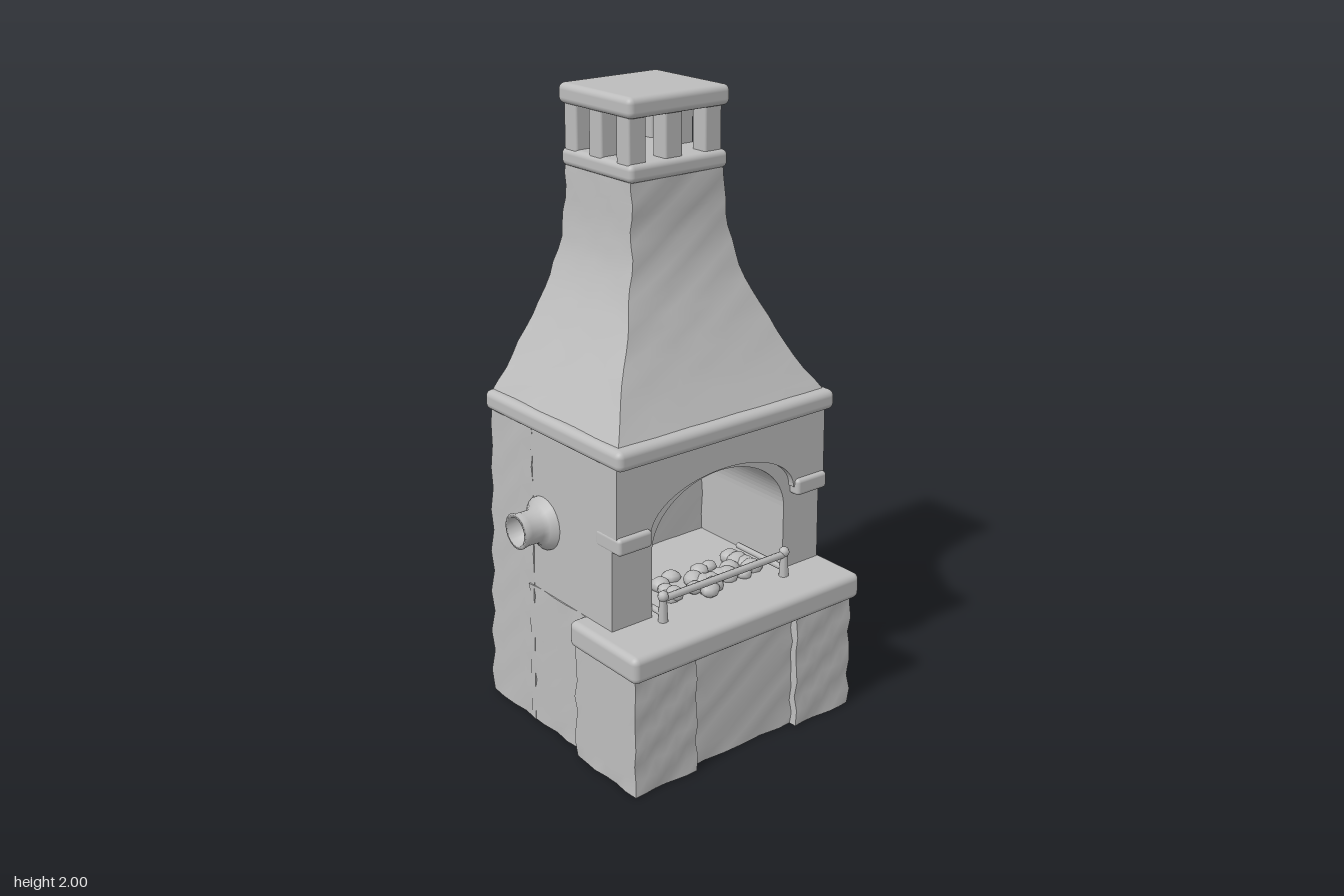
import * as THREE from 'three';
import { RoundedBoxGeometry } from 'three/addons/geometries/RoundedBoxGeometry.js';

const stone = new THREE.MeshStandardMaterial({ color: 0xbcbcbc });
stone.name = 'grey stone';

function seeded(seed) {
  let s = seed;
  return () => (s = (s * 16807) % 2147483647) / 2147483647;
}

function add(parent, name, geometry, x = 0, y = 0, z = 0) {
  const mesh = new THREE.Mesh(geometry, stone);
  mesh.name = name;
  mesh.position.set(x, y, z);
  parent.add(mesh);
  return mesh;
}

// Block that follows rectangular sections [y, xMin, xMax, zMin, zMax], with a slightly uneven face
function block(parent, name, sections, segX = 6, segY = 8, segZ = 6, rough = 0.004) {
  const g = new THREE.BoxGeometry(1, 1, 1, segX, segY, segZ);
  const p = g.attributes.position;
  const y0 = sections[0][0], y1 = sections[sections.length - 1][0];
  for (let i = 0; i < p.count; i++) {
    const y = THREE.MathUtils.lerp(y0, y1, p.getY(i) + 0.5);
    let k = 0;
    while (k < sections.length - 2 && y > sections[k + 1][0]) k++;
    const a = sections[k], b = sections[k + 1];
    const t = (y - a[0]) / (b[0] - a[0]);
    const at = (n) => THREE.MathUtils.lerp(a[n], b[n], t);
    const x = THREE.MathUtils.lerp(at(1), at(2), p.getX(i) + 0.5);
    const z = THREE.MathUtils.lerp(at(3), at(4), p.getZ(i) + 0.5);
    p.setXYZ(i,
      x + rough * Math.sin(z * 31 + y * 47),
      y,
      z + rough * Math.sin(x * 37 + y * 43 + 1));
  }
  g.computeVertexNormals();
  return add(parent, name, g);
}

// Soft-edged slab given by its limits
function slab(parent, name, x0, x1, y0, y1, z0, z1, radius = 0.02) {
  const g = new RoundedBoxGeometry(x1 - x0, y1 - y0, z1 - z0, 3, radius);
  return add(parent, name, g, (x0 + x1) / 2, (y0 + y1) / 2, (z0 + z1) / 2);
}

// Wall across z with an arched opening, running from x0 to x1
function archWall(parent, name, x0, x1, bottom, top, halfWidth, spring, apex) {
  const half = (y) => 0.423 - 0.013 * y;
  const s = new THREE.Shape();
  s.moveTo(-half(bottom), bottom);
  s.lineTo(-halfWidth, bottom);
  if (spring > bottom) s.lineTo(-halfWidth, spring);
  s.absellipse(0, spring, halfWidth, apex - spring, Math.PI, 0, true);
  s.lineTo(halfWidth, bottom);
  s.lineTo(half(bottom), bottom);
  s.lineTo(half(top), top);
  s.lineTo(-half(top), top);
  const g = new THREE.ExtrudeGeometry(s, { depth: x1 - x0, bevelEnabled: false, curveSegments: 20 });
  g.rotateY(Math.PI / 2);
  return add(parent, name, g, x0);
}

function rod(parent, name, from, to, rA, rB = rA) {
  const a = new THREE.Vector3(...from), b = new THREE.Vector3(...to);
  const dir = b.clone().sub(a);
  const m = add(parent, name, new THREE.CylinderGeometry(rB, rA, dir.length(), 8));
  m.position.copy(a).add(b).multiplyScalar(0.5);
  m.quaternion.setFromUnitVectors(new THREE.Vector3(0, 1, 0), dir.normalize());
  return m;
}

export function createModel() {
  const model = new THREE.Group();
  model.name = 'stoneFireplace';

  // Main body: rear wall, hearth base and arched firebox
  block(model, 'rearWall', [[0, -0.416, -0.17, -0.418, 0.428], [1.02, -0.39, -0.17, -0.408, 0.41]], 4, 14, 10);
  block(model, 'hearthBase', [[0, -0.19, 0.2, -0.418, 0.428], [0.475, -0.19, 0.2, -0.415, 0.42]], 6, 8, 10);
  archWall(model, 'fireboxWall', -0.18, 0.23, 0.46, 1.02, 0.265, 0.69, 0.885);
  archWall(model, 'archFace', 0.22, 0.252, 0.76, 1.02, 0.285, 0.76, 0.9);
  for (const side of [-1, 1]) {
    const inner = side * 0.29, outer = side * 0.415;
    slab(model, 'archCorbel', 0.15, 0.268, 0.73, 0.785, Math.min(inner, outer), Math.max(inner, outer), 0.012);
  }

  // Bench with two piers, recessed centre and thick top
  block(model, 'benchCentre', [[0, 0.1, 0.365, -0.22, 0.24], [0.42, 0.1, 0.36, -0.22, 0.24]]);
  block(model, 'benchPierLeft', [[0, 0.09, 0.39, 0.22, 0.458], [0.42, 0.095, 0.385, 0.22, 0.452]]);
  block(model, 'benchPierRight', [[0, 0.09, 0.39, -0.422, -0.19], [0.42, 0.095, 0.385, -0.42, -0.19]]);
  slab(model, 'benchTop', 0.085, 0.413, 0.388, 0.475, -0.437, 0.474, 0.022);

  // Cornice and flared hood
  slab(model, 'cornice', -0.405, 0.288, 1.0, 1.065, -0.422, 0.428, 0.022);
  block(model, 'hood', [
    [1.05, -0.39, 0.26, -0.405, 0.41],
    [1.16, -0.372, 0.19, -0.34, 0.345],
    [1.28, -0.353, 0.125, -0.285, 0.277],
    [1.4, -0.337, 0.07, -0.237, 0.218],
    [1.5, -0.325, 0.037, -0.21, 0.183],
    [1.6, -0.318, 0.018, -0.197, 0.168],
    [1.77, -0.31, 0.01, -0.187, 0.16],
  ], 6, 18, 6, 0.003);

  // Chimney top: collar, eight little piers and cap
  slab(model, 'chimneyCollar', -0.323, 0.023, 1.75, 1.805, -0.2, 0.173, 0.018);
  const xs = [-0.28, -0.157, -0.025], zs = [-0.153, -0.002, 0.133];
  for (let i = 0; i < 3; i++) {
    for (let j = 0; j < 3; j++) {
      if (i === 1 && j === 1) continue;
      slab(model, 'chimneyPier', xs[i] - 0.031, xs[i] + 0.031, 1.79, 1.955, zs[j] - 0.033, zs[j] + 0.033, 0.008);
    }
  }
  slab(model, 'chimneyCap', -0.328, 0.027, 1.937, 2, -0.204, 0.178, 0.02);

  // Flared vent pipes on both flanks
  const pipeProfile = [[0.088, 0], [0.085, 0.02], [0.066, 0.035], [0.054, 0.05], [0.053, 0.09],
    [0.058, 0.115], [0.046, 0.117], [0.042, 0.06], [0, 0.06]].map(([r, h]) => new THREE.Vector2(r, h));
  for (const side of [-1, 1]) {
    const pipe = add(model, 'ventPipe', new THREE.LatheGeometry(pipeProfile, 20), -0.116, 0.707, side * 0.4);
    pipe.rotation.x = side * Math.PI / 2;
  }

  // Fire grate
  const grate = new THREE.Group();
  grate.name = 'fireGrate';
  model.add(grate);
  for (const z of [-0.235, 0.255]) {
    rod(grate, 'gratePost', [0.27, 0.47, z], [0.27, 0.56, z], 0.016, 0.011);
    add(grate, 'grateKnob', new THREE.SphereGeometry(0.017, 10, 8), 0.27, 0.558, z);
    rod(grate, 'grateSideBar', [0.27, 0.5, z], [0.05, 0.5, z], 0.01);
  }
  rod(grate, 'grateRail', [0.27, 0.55, -0.235], [0.27, 0.55, 0.255], 0.012);

  // Heap of coals
  const coals = new THREE.Group();
  coals.name = 'coals';
  model.add(coals);
  const rnd = seeded(77);
  for (let i = 0; i < 28; i++) {
    const c = add(coals, 'coal', new THREE.SphereGeometry(0.024 + rnd() * 0.012, 8, 6),
      0.06 + rnd() * 0.17, 0.48 + rnd() * 0.015, -0.19 + rnd() * 0.34);
    c.scale.set(1, 0.8, 1.15);
    c.rotation.y = rnd() * 3;
  }

  // Fire tongs leaning on the flank
  const tongs = new THREE.Group();
  tongs.name = 'fireTongs';
  model.add(tongs);
  const ring = add(tongs, 'tongsHandle', new THREE.TorusGeometry(0.05, 0.011, 8, 20), 0.115, 0.468, -0.446);
  ring.scale.set(1.15, 0.75, 1);
  ring.rotation.x = 0.15;
  for (const side of [-1, 1]) {
    const path = new THREE.CatmullRomCurve3([
      [0.015, 0.435, -0.452], [0.04, 0.3, -0.472], [0.075, 0.14, -0.495], [0.097, 0.012, -0.508],
    ].map(([x, y, z]) => new THREE.Vector3(0.118 + side * x, y, z)));
    add(tongs, 'tongsLeg', new THREE.TubeGeometry(path, 14, 0.012, 8));
    add(tongs, 'tongsTip', new THREE.SphereGeometry(0.013, 8, 6), 0.118 + side * 0.097, 0.013, -0.507);
  }

  return model;
}
